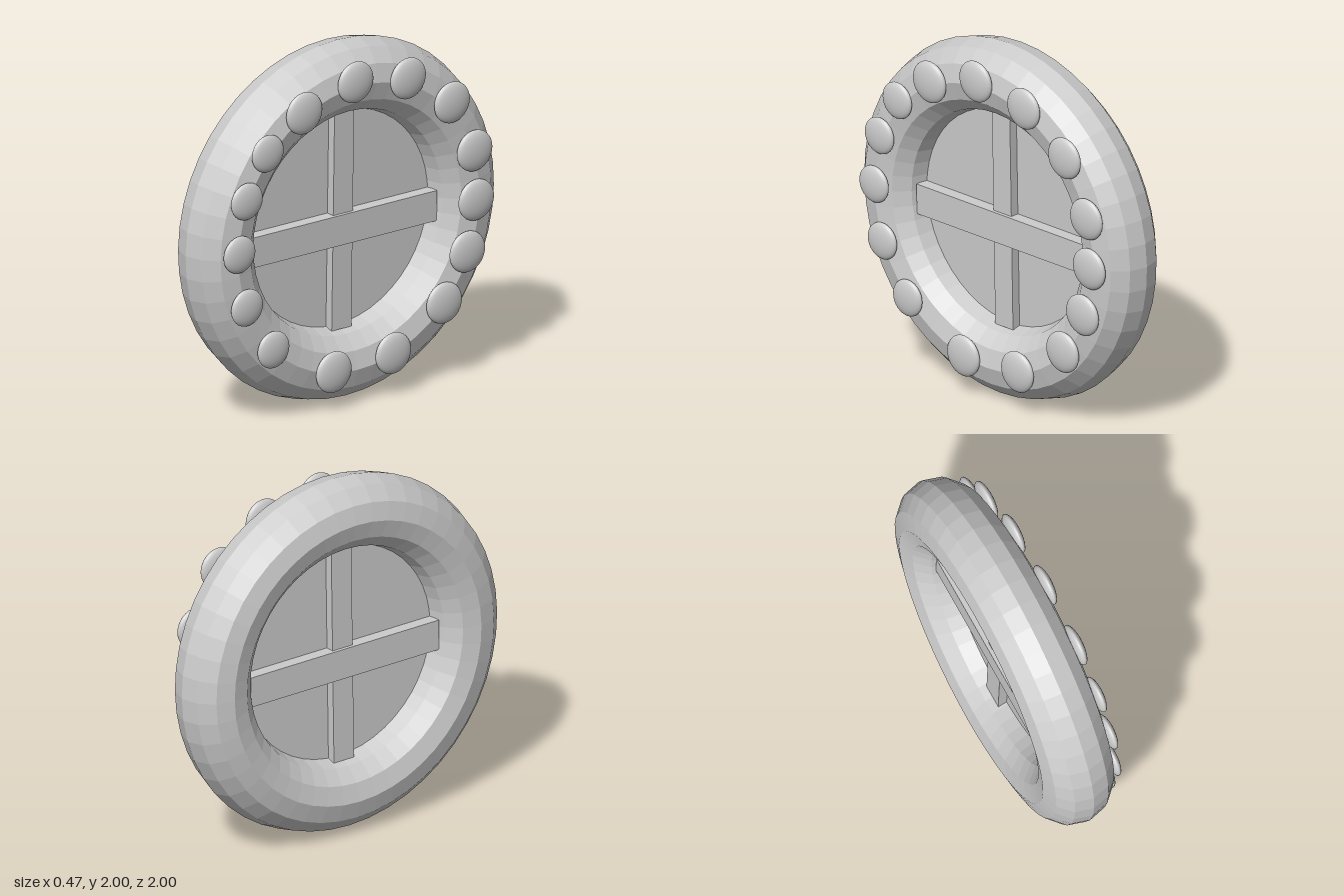
import * as THREE from 'three';

export function createModel() {
  const model = new THREE.Group();
  model.name = 'roundWindow';
  const flat = new THREE.MeshStandardMaterial({ color: 0xcccccc, flatShading: true });
  const smooth = new THREE.MeshStandardMaterial({ color: 0xcccccc });

  // The whole window leans very slightly around its centre
  const body = new THREE.Group();
  body.name = 'windowBody';
  body.position.set(-0.02, 1, 0);
  body.rotation.z = -0.02;
  model.add(body);

  const add = (name, geometry, material, x = 0, y = 0, z = 0) => {
    const mesh = new THREE.Mesh(geometry, material);
    mesh.name = name;
    mesh.position.set(x, y, z);
    body.add(mesh);
    return mesh;
  };

  // Round frame, axis along x
  add('frame', new THREE.TorusGeometry(0.8, 0.2, 12, 48).rotateY(Math.PI / 2), flat);

  // Thin glass pane
  add('pane', new THREE.CylinderGeometry(0.62, 0.62, 0.02, 48).rotateZ(Math.PI / 2), flat);

  // Crossed glazing bars
  add('verticalBar', new THREE.BoxGeometry(0.12, 1.22, 0.13), flat);
  add('horizontalBar', new THREE.BoxGeometry(0.16, 0.17, 1.22), flat, 0, -0.045, 0);

  // Flattened studs around the frame: [y, z, radius]
  const studs = [
    [0.83, 0.04, 0.115], [0.775, -0.31, 0.115], [0.575, -0.605, 0.115],
    [0.27, -0.76, 0.115], [-0.01, -0.775, 0.115], [-0.29, -0.72, 0.115],
    [-0.545, -0.57, 0.115], [-0.755, -0.235, 0.115], [-0.775, 0.16, 0.115],
    [-0.56, 0.565, 0.103], [-0.285, 0.745, 0.103], [0.025, 0.8, 0.103],
    [0.315, 0.755, 0.103], [0.555, 0.62, 0.103], [0.73, 0.38, 0.117],
  ];
  const ball = new THREE.SphereGeometry(1, 32, 16);
  studs.forEach(([y, z, r], i) => {
    add(`stud${i + 1}`, ball, smooth, 0.205, y, z).scale.set(r * 0.31, r, r);
  });

  return model;
}
